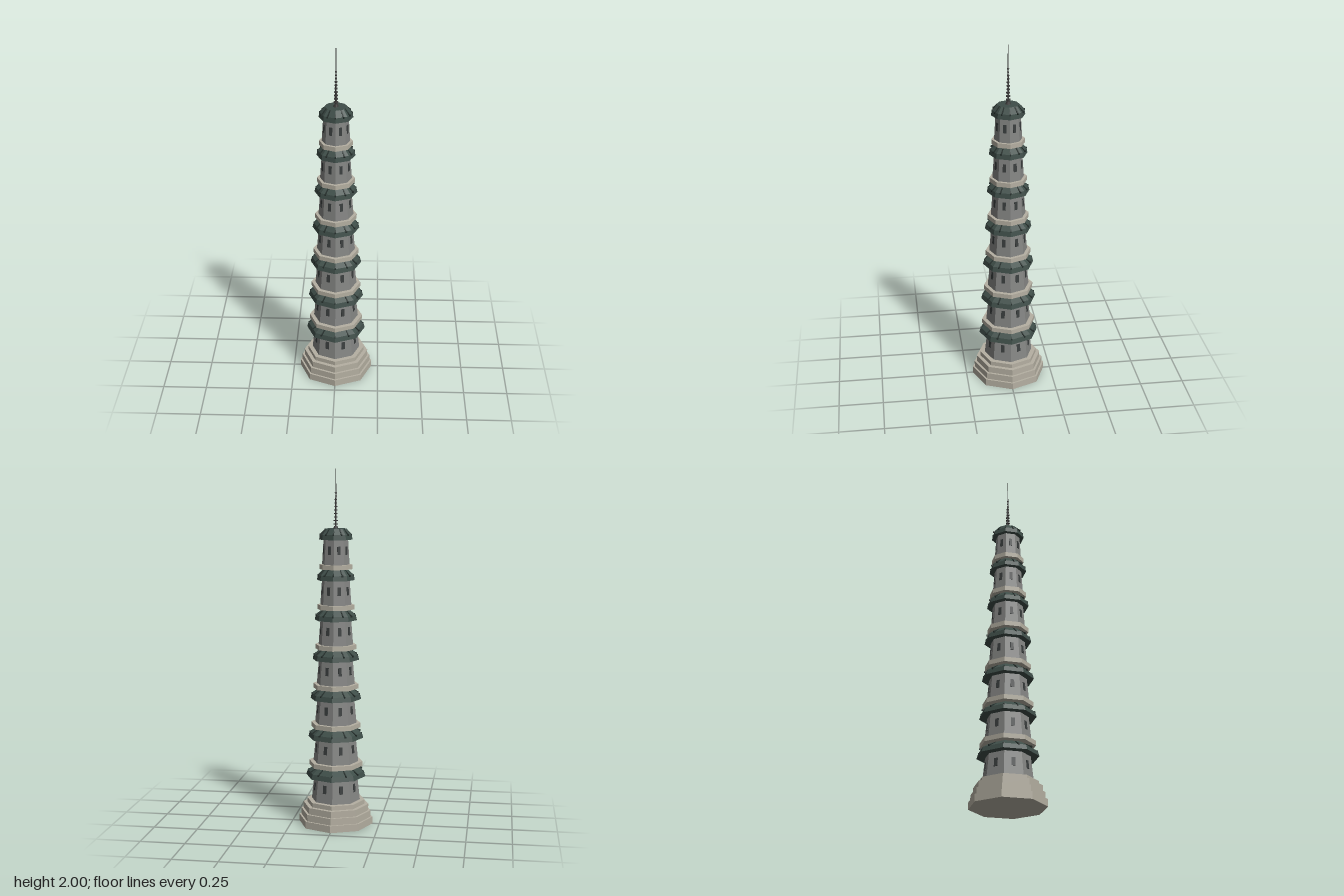
import * as THREE from 'three';

const mat = (name, color) => {
  const m = new THREE.MeshStandardMaterial({ color, flatShading: true });
  m.name = name;
  return m;
};

export function createModel() {
  const root = new THREE.Group();
  root.name = 'pagoda';
  const stone = mat('pale stone', 0xb5b0a2);
  const wall = mat('grey wall', 0x858684);
  const tile = mat('green roof tile', 0x3e4d48);
  const rib = mat('dark roof ridge', 0x26302d);
  const dark = mat('window dark', 0x3a3e3e);
  const iron = mat('spire iron', 0x3c3b3b);

  const add = (parent, name, geometry, material, x = 0, y = 0, z = 0) => {
    const m = new THREE.Mesh(geometry, material);
    m.name = name;
    m.position.set(x, y, z);
    parent.add(m);
    return m;
  };
  // Upright prism or frustum standing on y
  const prism = (parent, name, material, y, h, rBottom, rTop = rBottom, sides = 8) =>
    add(parent, name, new THREE.CylinderGeometry(rTop, rBottom, h, sides), material, 0, y + h / 2, 0);

  // Stepped plinth
  [[0, 0.04, 0.211], [0.04, 0.038, 0.2], [0.078, 0.037, 0.187], [0.115, 0.025, 0.165]]
    .forEach(([y, h, r]) => prism(root, 'plinthStep', stone, y, h, r));

  for (let i = 0; i < 7; i++) {
    const storey = new THREE.Group();
    storey.name = 'storey' + (i + 1);
    storey.position.y = 0.14 + 0.223 * i;
    root.add(storey);
    const deck = 0.165 - 0.0122 * i;
    const eave = 0.17 - 0.0128 * i;
    const rBottom = deck * 0.84, rTop = rBottom * 0.88;

    // Projecting deck and tapered wall
    if (i > 0) prism(storey, 'deck', stone, -0.026, 0.026, deck);
    prism(storey, 'wall', wall, 0, 0.15, rBottom, rTop);

    // One window in the middle of each wall face
    const apothem = Math.cos(Math.PI / 8);
    const lean = Math.atan(((rBottom - rTop) * apothem) / 0.15);
    for (let k = 0; k < 8; k++) {
      const face = new THREE.Group();
      face.name = 'windowFace';
      face.rotation.y = ((k + 0.5) * Math.PI) / 4;
      storey.add(face);
      const r = (rBottom + (rTop - rBottom) * (0.078 / 0.15)) * apothem;
      const w = add(face, 'window', new THREE.BoxGeometry(0.021 - 0.0006 * i, 0.046, 0.006), dark, 0, 0.078, r);
      w.rotation.x = -lean;
    }

    // Roof with a steep eave and a shallower upper slope
    prism(storey, 'roofEave', tile, 0.137, 0.028, eave, eave * 0.95);
    prism(storey, 'roofSlope', tile, 0.165, 0.032, eave * 0.95, eave * 0.65);

    // Twelve ridges running down the roof, each with a small end block
    const a = new THREE.Vector2(eave * 0.6, 0.195), b = new THREE.Vector2(eave * 0.93, 0.164);
    for (let k = 0; k < 12; k++) {
      const arm = new THREE.Group();
      arm.name = 'ridgeArm';
      arm.rotation.y = (k * Math.PI) / 6;
      storey.add(arm);
      const ridge = add(arm, 'ridge', new THREE.BoxGeometry(0.006, 0.006, a.distanceTo(b)), rib,
        0, (a.y + b.y) / 2, (a.x + b.x) / 2);
      ridge.rotation.x = Math.atan2(a.y - b.y, b.x - a.x);
      add(arm, 'ridgeEnd', new THREE.BoxGeometry(0.007, 0.009, 0.007), rib, 0, b.y, b.x);
    }
  }

  // Spire: socket, tapering mast and shrinking rings
  const top = 1.675;
  prism(root, 'spireSocket', iron, top, 0.014, 0.015, 0.01, 12);
  prism(root, 'spireMast', iron, top, 2 - top, 0.005, 0.0015, 8);
  for (let i = 0; i < 9; i++) {
    const r = 0.0125 - 0.0009 * i;
    prism(root, 'spireRing', iron, top + 0.022 + 0.019 * i, 0.006, r, r, 12);
  }
  add(root, 'spireBead', new THREE.SphereGeometry(0.006, 8, 6), iron, 0, 1.87, 0);
  return root;
}
